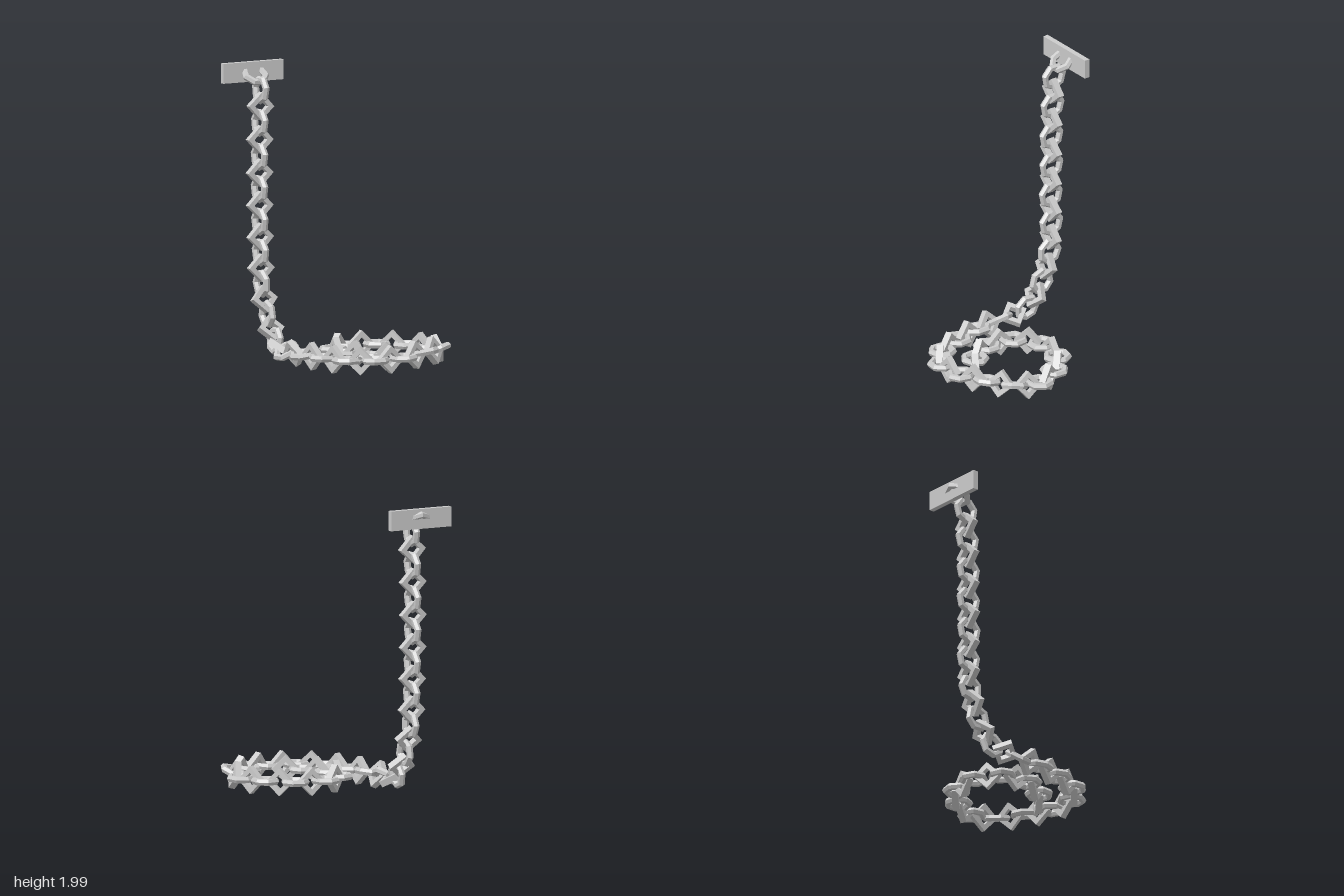
import * as THREE from 'three';

const material = new THREE.MeshStandardMaterial({ color: 0xcccccc, flatShading: true });

// Low-poly closed ring: a polygonal path swept with a polygonal section.
function ringGeometry(sides, sectionSides, sectionTurn, radius, tube) {
  const positions = [];
  const index = [];
  for (let i = 0; i < sides; i++) {
    const a = (i / sides) * Math.PI * 2;
    for (let j = 0; j < sectionSides; j++) {
      const b = (j / sectionSides) * Math.PI * 2 + sectionTurn;
      const r = radius + tube * Math.cos(b);
      positions.push(r * Math.cos(a), r * Math.sin(a), tube * Math.sin(b));
      const i2 = (i + 1) % sides, j2 = (j + 1) % sectionSides;
      const p = i * sectionSides + j, q = i2 * sectionSides + j;
      const s = i2 * sectionSides + j2, t = i * sectionSides + j2;
      index.push(p, q, s, p, s, t);
    }
  }
  const geometry = new THREE.BufferGeometry();
  geometry.setAttribute('position', new THREE.Float32BufferAttribute(positions, 3));
  geometry.setIndex(index);
  geometry.computeVertexNormals();
  return geometry;
}

// Places a link with its length on the tangent and its hole facing the normal.
function makeLink(name, geometry, position, tangent, normal) {
  const mesh = new THREE.Mesh(geometry, material);
  mesh.name = name;
  const x = tangent.clone().normalize();
  const y = normal.clone().cross(x).normalize();
  const z = x.clone().cross(y);
  mesh.quaternion.setFromRotationMatrix(new THREE.Matrix4().makeBasis(x, y, z));
  mesh.position.copy(position);
  return mesh;
}

// Centres of the round links (x, y, z) and the roll of the chain there.
const UP = Math.PI / 2;
const path = [
  [-0.37, 1.82, -0.55, 0], [-0.38, 1.6, -0.545, 0], [-0.385, 1.37, -0.54, 0],
  [-0.385, 1.15, -0.54, 0], [-0.385, 0.93, -0.535, 0], [-0.38, 0.72, -0.535, 0],
  [-0.38, 0.51, -0.52, 0], [-0.375, 0.31, -0.45, 0], [-0.38, 0.145, -0.33, 0.1],
  [-0.41, 0.105, -0.12, 0.95], [-0.39, 0.105, 0.08, 1.4], [-0.345, 0.105, 0.28, UP],
  [-0.27, 0.105, 0.47, UP], [-0.115, 0.11, 0.595, UP], [0.1, 0.115, 0.595, UP],
  [0.3, 0.13, 0.525, 1.1], [0.46, 0.125, 0.42, 1.1], [0.505, 0.11, 0.24, UP],
  [0.42, 0.11, 0.05, UP], [0.27, 0.11, -0.09, UP], [0.055, 0.11, -0.12, UP],
  [-0.11, 0.11, -0.01, UP], [-0.14, 0.11, 0.19, UP], [-0.04, 0.11, 0.37, UP],
  [0.15, 0.11, 0.5, UP],
];

export function createModel() {
  const model = new THREE.Group();
  model.name = 'wallChain';
  const roundRing = ringGeometry(7, 6, 0, 0.076, 0.024);
  const squareRing = ringGeometry(4, 4, Math.PI / 4, 0.073, 0.032);

  // Wall plate and the slanted ring that passes through it
  const plate = new THREE.Mesh(new THREE.BoxGeometry(0.46, 0.135, 0.037), material);
  plate.name = 'wallPlate';
  plate.position.set(-0.375, 1.9325, -0.66);
  model.add(plate);
  model.add(makeLink('plateRing', roundRing, new THREE.Vector3(-0.375, 1.915, -0.622),
    new THREE.Vector3(0, 0.6, -0.8), new THREE.Vector3(0, 0.8, 0.6)));

  // Chain: round and square links alternate, hanging and then coiled on the floor
  const chain = new THREE.Group();
  chain.name = 'chain';
  const curve = new THREE.CatmullRomCurve3(path.map(([x, y, z]) => new THREE.Vector3(x, y, z)));
  const spans = path.length - 1;
  for (let k = 0; k < spans * 2; k++) {
    const t = k / (spans * 2);
    const tangent = curve.getTangent(t);
    const roll = (path[Math.floor(k / 2)][3] + path[Math.ceil(k / 2)][3]) / 2;
    const normal = new THREE.Vector3(-Math.cos(roll), Math.sin(roll), 0);
    const square = k % 2 === 1;
    if (square) normal.cross(tangent);
    chain.add(makeLink(square ? 'squareLink' : 'roundLink', square ? squareRing : roundRing,
      curve.getPoint(t), tangent, normal));
  }
  model.add(chain);
  return model;
}
